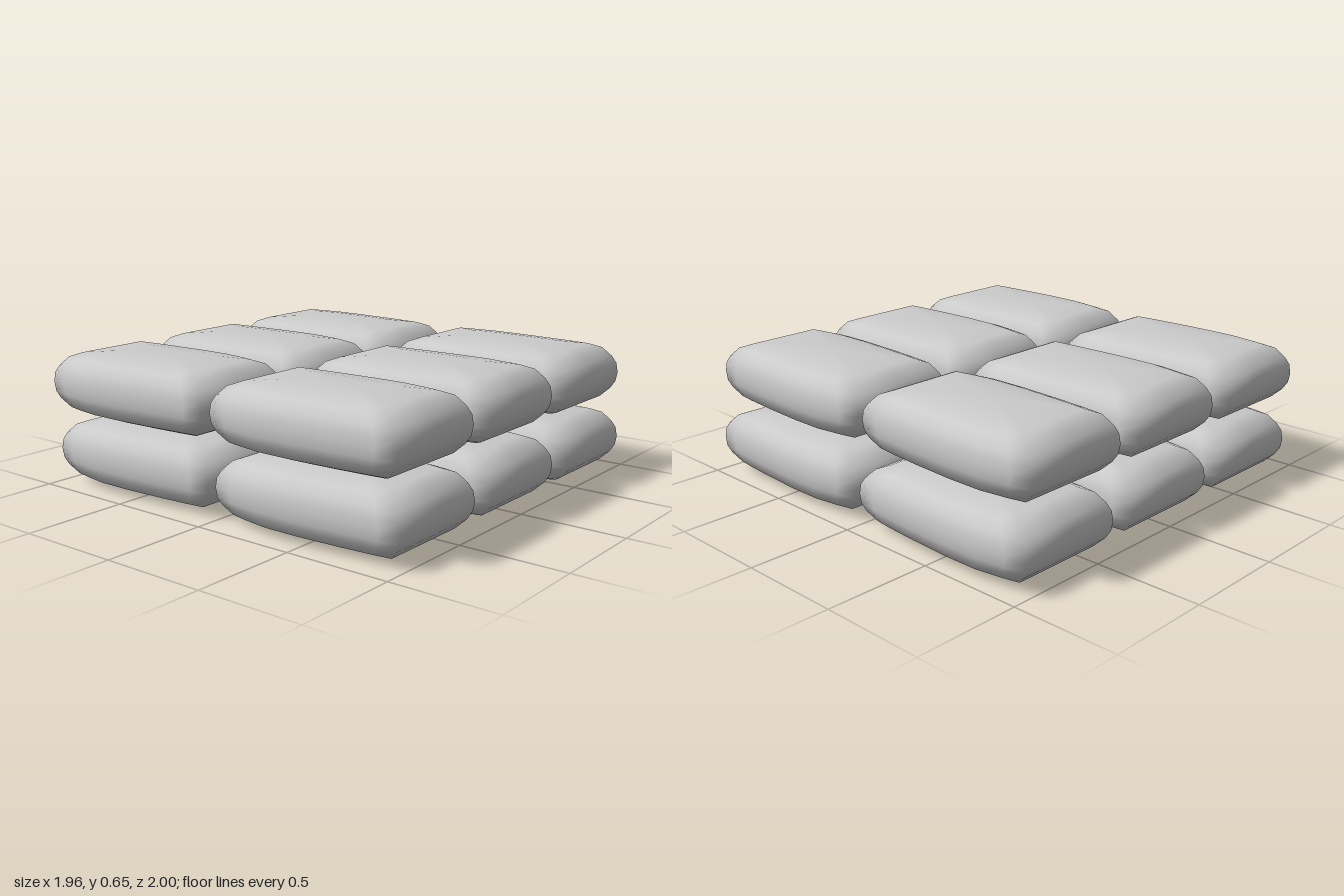
import * as THREE from 'three';

// Half profile of a stuffed sack: [height, half width, half length]
const HALF = [
  [0, 0.306, 0.49],
  [0.045, 0.304, 0.482],
  [0.08, 0.29, 0.462],
  [0.122, 0.262, 0.42],
  [0.142, 0.21, 0.37],
  [0.153, 0.12, 0.24],
];
const LEVELS = [...HALF.slice(1).reverse().map(([y, x, z]) => [-y, x, z]), ...HALF];

// Side outline: [length fraction, width fraction], fullest a little behind the middle
const SIDE = [[-1, 0.85], [-0.8, 0.92], [-0.5, 0.995], [-0.1, 1], [0.4, 0.96], [0.8, 0.91], [1, 0.87]];

// Plan outline, the same after half a turn; skew -1 mirrors it
function outline(skew) {
  const left = SIDE.map(([z, x]) => [-x, z * skew]);
  const right = SIDE.map(([z, x]) => [x, -z * skew]);
  const ends = [[0, skew], [0, -skew]];
  const loop = [...left, ends[0], ...right, ends[1]];
  return skew > 0 ? loop : loop.reverse();
}

// Rings stacked upwards, closed by a slightly crowned top and bottom
function sackGeometry(skew) {
  const ring = outline(skew);
  const n = ring.length;
  const pos = [];
  const index = [];
  for (const [y, hx, hz] of LEVELS) {
    for (const [x, z] of ring) pos.push(x * hx, y, z * hz);
  }
  for (let l = 0; l < LEVELS.length - 1; l++) {
    for (let i = 0; i < n; i++) {
      const j = (i + 1) % n;
      const a = l * n + i, b = l * n + j;
      index.push(a, b, b + n, a, b + n, a + n);
    }
  }
  const bottom = LEVELS.length * n;
  const lastRing = (LEVELS.length - 1) * n;
  pos.push(0, -0.16, 0, 0, 0.16, 0);
  for (let i = 0; i < n; i++) {
    const j = (i + 1) % n;
    index.push(bottom, j, i, bottom + 1, lastRing + i, lastRing + j);
  }
  const geometry = new THREE.BufferGeometry();
  geometry.setAttribute('position', new THREE.Float32BufferAttribute(pos, 3));
  geometry.setIndex(index);
  geometry.computeVertexNormals();
  return geometry;
}

export function createModel() {
  const model = new THREE.Group();
  model.name = 'sackStack';
  const material = new THREE.MeshStandardMaterial({ color: 0xcccccc });
  const plain = sackGeometry(1);
  const mirrored = sackGeometry(-1);

  // Two layers, the upper one shifted a little to the side
  const layers = [
    { name: 'lowerLayer', y: 0.167, xs: [-0.65, 0.01, 0.672] },
    { name: 'upperLayer', y: 0.498, xs: [-0.675, -0.02, 0.64] },
  ];
  for (const { name, y, xs } of layers) {
    const layer = new THREE.Group();
    layer.name = name;
    xs.forEach((x, column) => {
      for (const z of [0.51, -0.51]) {
        const sack = new THREE.Mesh(column === 2 ? mirrored : plain, material);
        sack.name = 'sack';
        sack.position.set(x, y, z);
        layer.add(sack);
      }
    });
    model.add(layer);
  }
  return model;
}
